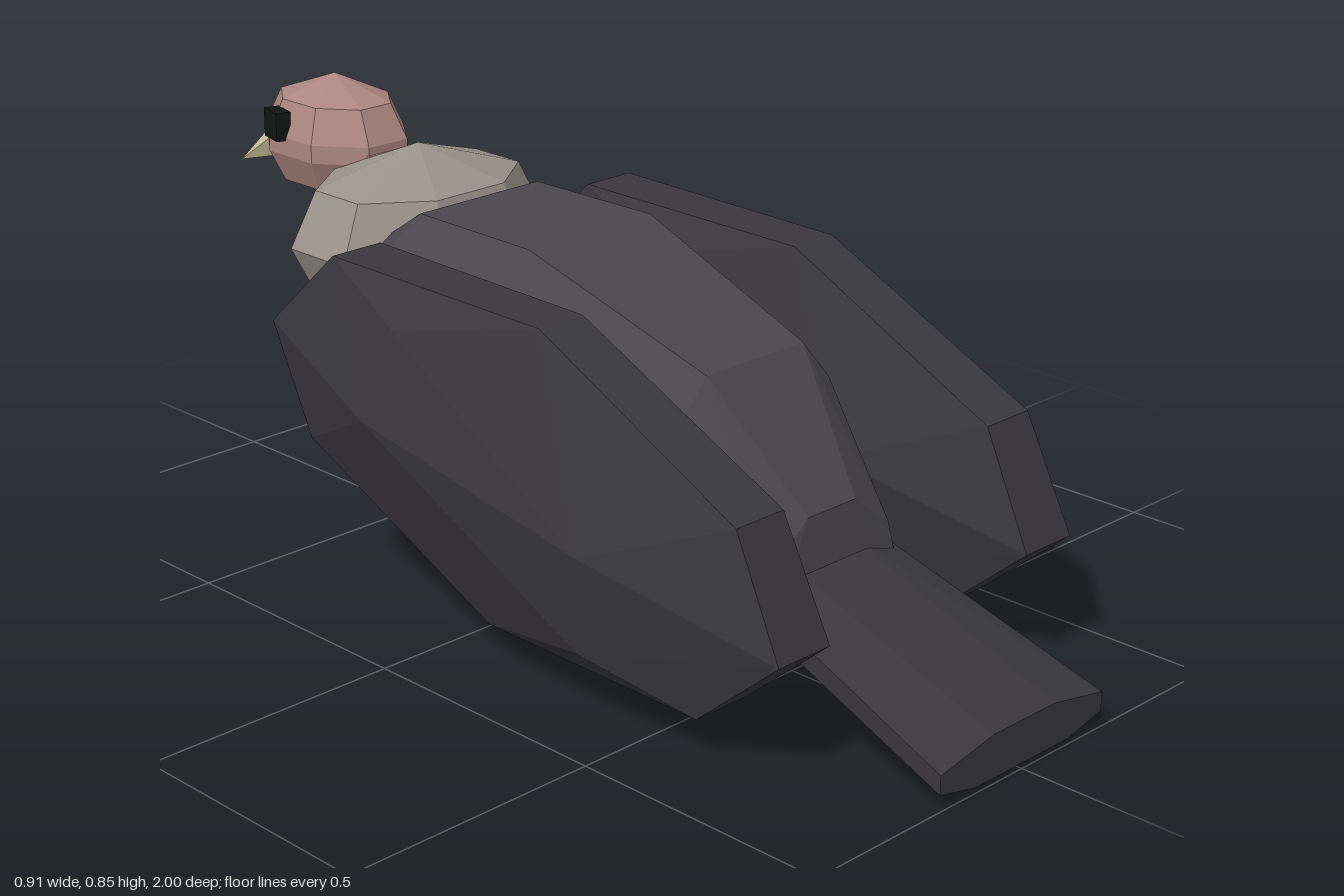
import * as THREE from 'three';
import { ConvexGeometry } from 'three/addons/geometries/ConvexGeometry.js';

const mat = (color) => new THREE.MeshStandardMaterial({ color, flatShading: true });

// Faceted solid around points [halfWidth, y, z], mirrored about x = 0
function mirroredHull(name, points, material) {
  const all = [];
  for (const [w, y, z] of points) {
    all.push(new THREE.Vector3(w, y, z));
    if (w > 0) all.push(new THREE.Vector3(-w, y, z));
  }
  const mesh = new THREE.Mesh(new ConvexGeometry(all), material);
  mesh.name = name;
  return mesh;
}

// Eight-sided rounded form: profile [relative radius, y], stretched to rx and rz
function facetedBall(name, profile, rx, rz, z, material) {
  const pts = profile.map(([r, y]) => new THREE.Vector2(r, y));
  const geo = new THREE.LatheGeometry(pts, 8, Math.PI / 8).scale(rx, 1, rz);
  const mesh = new THREE.Mesh(geo, material);
  mesh.name = name;
  mesh.position.z = z;
  return mesh;
}

export function createModel() {
  const bird = new THREE.Group();
  bird.name = 'bird';
  const plumage = mat(0x49474c);
  const feather = mat(0x39373c);
  const skin = mat(0xac8680);

  // Body: rings from chest to rump
  bird.add(mirroredHull('body', [
    [0.12, 0.5, -0.53], [0.22, 0.5, -0.53], [0.22, 0.34, -0.53], [0.13, 0.22, -0.53],
    [0.145, 0.685, -0.29], [0.24, 0.6, -0.31], [0.27, 0.3, -0.35], [0.14, 0.14, -0.35],
    [0.15, 0.685, 0], [0.25, 0.57, 0], [0.28, 0.25, 0], [0.14, 0.05, 0],
    [0.12, 0.55, 0.4], [0.19, 0.47, 0.4], [0.22, 0.155, 0.4], [0.12, 0, 0.4],
    [0.06, 0.33, 0.58], [0.15, 0.26, 0.58], [0.16, 0.16, 0.6], [0.09, 0.08, 0.6],
  ], plumage));

  // Folded wings
  const wingPoints = [
    [0.055, 0.44, 0.7], [0.06, 0.235, 0.8], [0.055, 0.08, 0.62],
    [0.05, 0.655, 0.25], [0.055, 0.66, -0.27], [0.06, 0.5, -0.44],
    [0.06, 0.3, -0.34], [0.05, 0.08, 0.12],
    [0.11, 0.59, -0.05], [0.142, 0.42, -0.1], [0.142, 0.33, 0.43], [0.11, 0.14, 0.4],
  ];
  for (const side of [1, -1]) {
    const wing = mirroredHull(side > 0 ? 'leftWing' : 'rightWing', wingPoints, feather);
    wing.position.x = side * 0.312;
    bird.add(wing);
  }

  // Tail: flat fan widening to the back
  bird.add(mirroredHull('tail', [
    [0.08, 0.25, 0.55], [0.17, 0.22, 0.55], [0.17, 0.18, 0.55], [0.1, 0.15, 0.55],
    [0.08, 0.09, 1], [0.21, 0.065, 1], [0.21, 0.03, 1], [0.12, 0.01, 1],
  ], feather));

  // Neck ruff, neck and head
  bird.add(facetedBall('ruff',
    [[0, 0.42], [0.8, 0.48], [1, 0.585], [0.8, 0.69], [0, 0.755]],
    0.27, 0.197, -0.46, mat(0x99938a)));
  bird.add(mirroredHull('neck', [
    [0.05, 0.72, -0.54], [0.05, 0.64, -0.54], [0.05, 0.72, -0.66], [0.05, 0.62, -0.66],
  ], skin));
  bird.add(facetedBall('head',
    [[0, 0.6], [0.78, 0.64], [1, 0.7], [1, 0.735], [0.78, 0.8], [0, 0.845]],
    0.124, 0.165, -0.698, skin));

  // Beak: downturned point
  bird.add(mirroredHull('beak', [
    [0.022, 0.74, -0.84], [0.045, 0.7, -0.84], [0.025, 0.66, -0.83], [0, 0.61, -1],
  ], mat(0xcfc6a2)));

  // Eyes
  const eyeMaterial = mat(0x121414);
  for (const side of [1, -1]) {
    const eye = new THREE.Mesh(new THREE.BoxGeometry(0.03, 0.055, 0.055), eyeMaterial);
    eye.name = side > 0 ? 'leftEye' : 'rightEye';
    eye.position.set(side * 0.112, 0.757, -0.737);
    eye.rotation.y = side * 0.25;
    bird.add(eye);
  }
  return bird;
}
